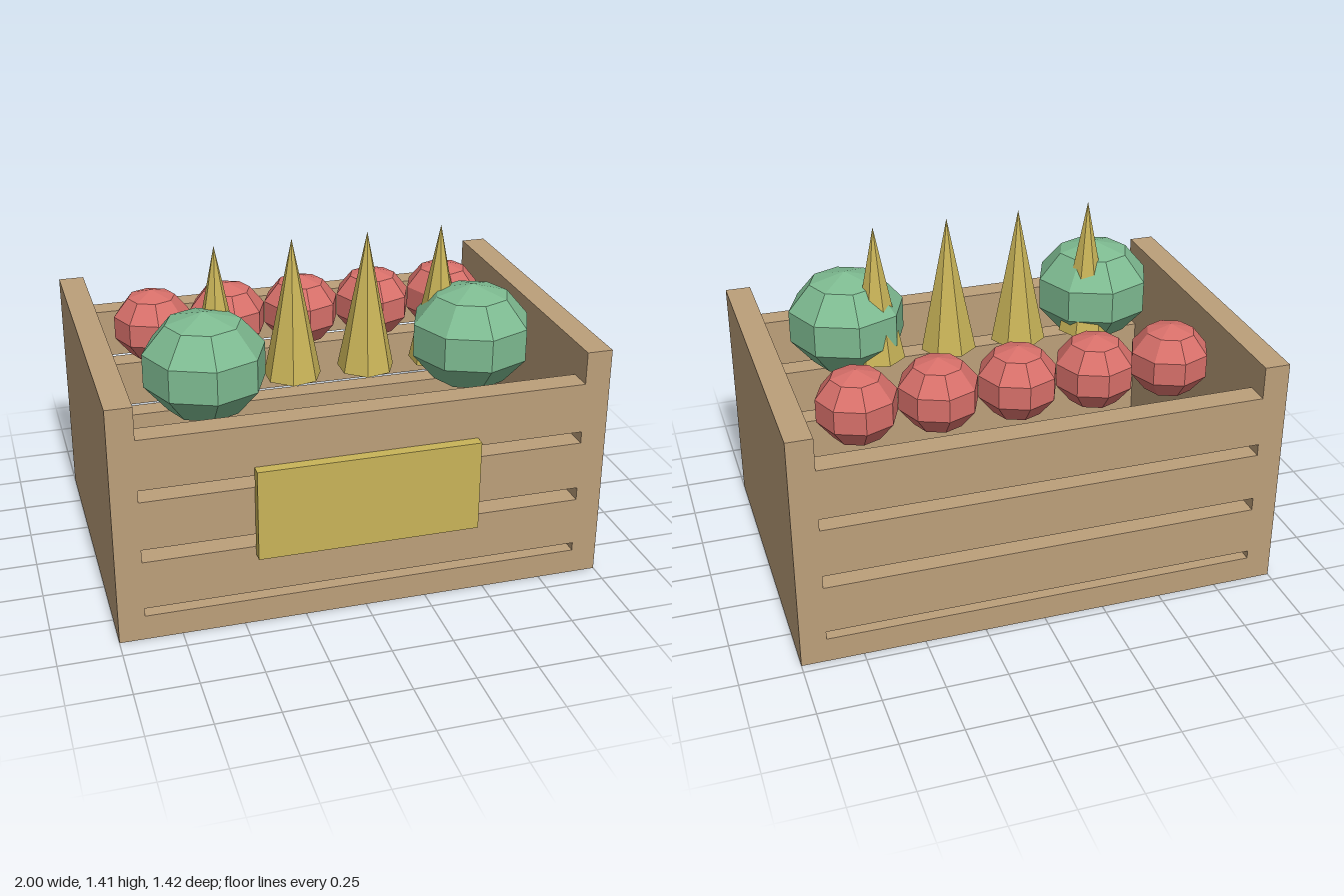
import * as THREE from 'three';

const flat = (name, color) => {
  const m = new THREE.MeshStandardMaterial({ color });
  m.name = name;
  m.flatShading = true;
  return m;
};

export function createModel() {
  const model = new THREE.Group();
  model.name = 'produceCrate';

  const wood = flat('wood', 0xbc9f7a);
  const gold = flat('gold', 0xc9b458);
  const green = flat('green', 0x7ebb91);
  const red = flat('red', 0xd8706a);

  const add = (name, geometry, material, x, y, z) => {
    const mesh = new THREE.Mesh(geometry, material);
    mesh.name = name;
    mesh.position.set(x, y, z);
    model.add(mesh);
    return mesh;
  };
  // Box given by its lower and upper limits on each axis
  const block = (name, material, [x0, x1], [y0, y1], [z0, z1]) =>
    add(name, new THREE.BoxGeometry(x1 - x0, y1 - y0, z1 - z0), material,
      (x0 + x1) / 2, (y0 + y1) / 2, (z0 + z1) / 2);

  // Crate: two end panels, a floor and four slats on each long side
  const inner = [-0.895, 0.895];
  block('leftPanel', wood, [0.895, 1], [0, 1], [-0.71, 0.665]);
  block('rightPanel', wood, [-1, -0.895], [0, 1], [-0.71, 0.665]);
  block('floor', wood, inner, [0, 0.1], [-0.61, 0.565]);
  for (const y of [[0, 0.105], [0.14, 0.345], [0.4, 0.605], [0.655, 0.865]]) {
    block('frontSlat', wood, inner, y, [0.565, 0.665]);
    block('backSlat', wood, inner, y, [-0.71, -0.61]);
  }

  // Blank sign on the front
  block('sign', gold, [-0.45, 0.45], [0.31, 0.69], [0.665, 0.71]);

  // Back row of small round fruit
  const smallFruit = new THREE.SphereGeometry(0.171, 8, 5).scale(1, 0.91, 1);
  for (let i = -2; i <= 2; i++) add('redFruit', smallFruit, red, i * 0.327, 0.9, -0.335);

  // Two large green fruit at the front
  const largeFruit = new THREE.SphereGeometry(0.257, 8, 5).scale(1, 0.855, 1);
  for (const x of [-0.555, 0.55]) add('greenFruit', largeFruit, green, x, 0.967, 0.288);

  // Pointed seven-sided vegetables in a row
  const spike = new THREE.ConeGeometry(0.118, 0.58, 7).rotateY(Math.PI / 2);
  for (let i = 0; i < 4; i++) add('spike', spike, gold, -0.483 + i * 0.31, 1.12, 0.183);

  return model;
}
